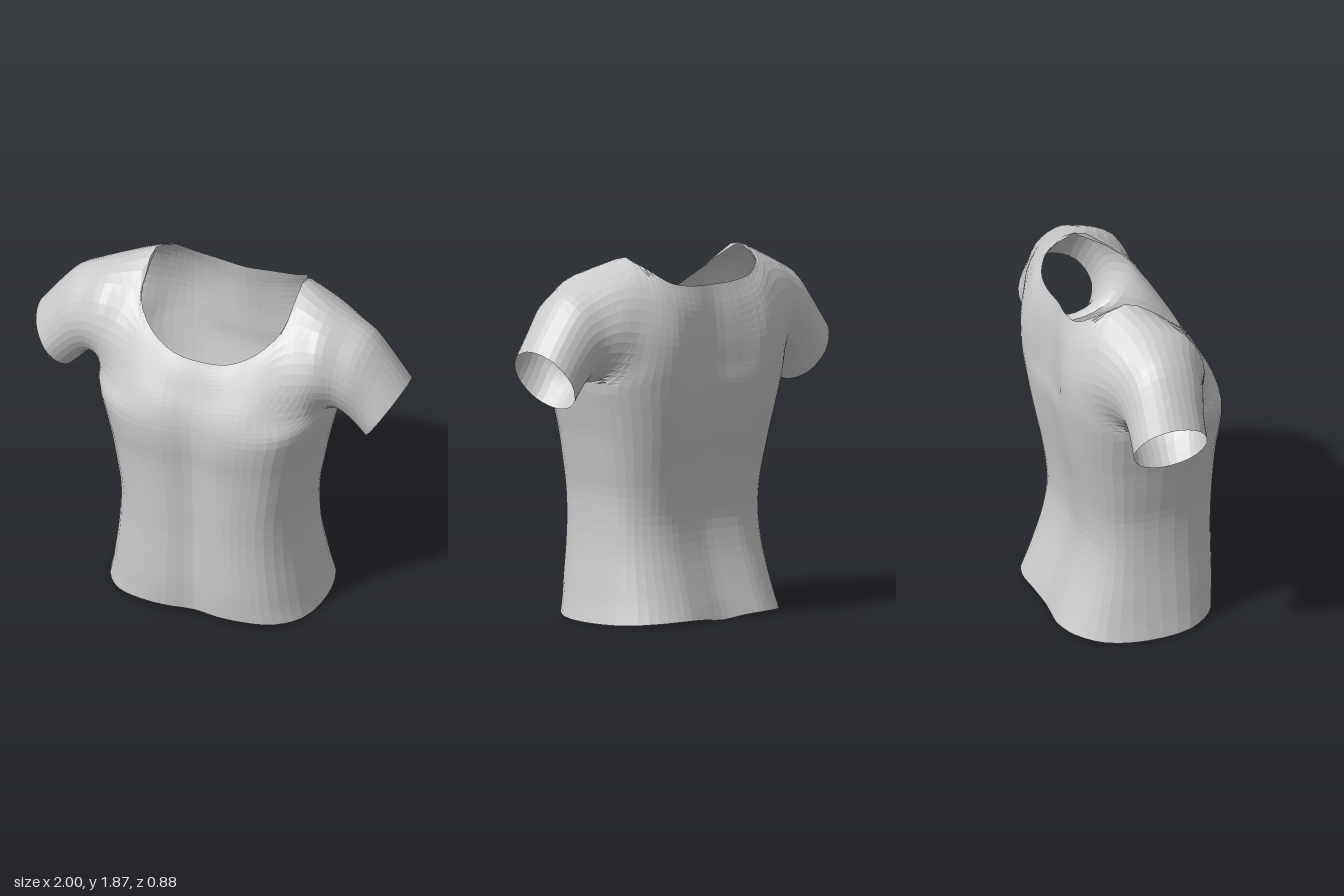
import * as THREE from 'three';
import { mergeGeometries } from 'three/addons/utils/BufferGeometryUtils.js';

const MID = -0.05; // z of the side seams
const V = (x, y, z) => new THREE.Vector3(x, y, z);
const flipX = (p) => V(-p.x, p.y, p.z);
const beyond = (end, inner) => end.clone().multiplyScalar(2).sub(inner); // continues an edge
const spline = (pts) => new THREE.CatmullRomCurve3(pts, false, 'centripetal');

// Smooth surface through a net of points. The outer rows and columns of the net
// only steer the tangents, so neighbouring panels meet without a crease.
function patch(net, stepsU, stepsV, facing) {
  const nu = (net[0].length - 3) * stepsU;
  const nv = (net.length - 3) * stepsV;
  const inside = (pts, steps) =>
    spline(pts).getPoints((pts.length - 1) * steps).slice(steps, -steps);
  const rows = net.map((row) => inside(row, stepsU));
  const columns = rows[0].map((_, i) => inside(rows.map((r) => r[i]), stepsV));
  const pos = [];
  const index = [];
  for (let j = 0; j <= nv; j++) {
    for (let i = 0; i <= nu; i++) pos.push(...columns[i][j].toArray());
  }
  for (let j = 0; j < nv; j++) {
    for (let i = 0; i < nu; i++) {
      const a = j * (nu + 1) + i, b = a + 1, c = a + nu + 1, d = c + 1;
      if (facing > 0) index.push(a, b, d, a, d, c);
      else index.push(a, d, b, a, c, d);
    }
  }
  const geo = new THREE.BufferGeometry();
  geo.setAttribute('position', new THREE.Float32BufferAttribute(pos, 3));
  geo.setIndex(index);
  geo.computeVertexNormals();
  return geo;
}

// Torso rings: height, half width, front z, back z
const RINGS = [
  [0, 0.565, 0.39, -0.435], [0.1, 0.545, 0.395, -0.405], [0.2, 0.53, 0.4, -0.37],
  [0.35, 0.51, 0.4, -0.325], [0.5, 0.5, 0.4, -0.302], [0.65, 0.503, 0.405, -0.312],
  [0.8, 0.528, 0.41, -0.335], [0.95, 0.555, 0.42, -0.365], [1.08, 0.585, 0.436, -0.388],
  [1.2, 0.62, 0.436, -0.405],
];
const ACROSS = [0, 0.26, 0.5, 0.74, 0.93, 1];
const DEPTH = { 1: [0.94, 1, 0.98, 0.86, 0.55, 0], '-1': [0.94, 0.98, 1, 0.87, 0.55, 0] };

// Half rings from the centre front or back to the side seam
const torso = (side) => RINGS.map(([y, w, zf, zb], r) => ACROSS.map((f, c) => {
  const d = DEPTH[side][c];
  let h = y;
  if (r === 0) h += side > 0 ? 0.04 * d ** 3 : 0.02 * Math.sin(Math.PI * f); // wavy hem
  if (r === RINGS.length - 1) h += 0.04 * f ** 4;                            // underarm
  return V(w * f, h, MID + ((side > 0 ? zf : zb) - MID) * d);
}));

// Sleeve stations from armhole to cuff: top x, y, bottom x, y, front z, back z
const STATIONS = [
  [0.58, 1.8, 0.62, 1.24, 0.24, -0.31], [0.7, 1.745, 0.665, 1.25, 0.2, -0.265],
  [0.8, 1.69, 0.71, 1.22, 0.18, -0.245], [0.9, 1.57, 0.755, 1.17, 0.158, -0.237],
  [1, 1.43, 0.8, 1.12, 0.15, -0.24],
];

// Sleeve points at step k around: 0 underarm, 2 front, 4 top, 6 back, 8 underarm
const sleeveRow = (k) => STATIONS.map(([tx, ty, bx, by, zf, zb]) => {
  const a = (k / 4 - 0.5) * Math.PI;
  const t = (1 + Math.sin(a)) / 2;
  const z = MID + ((k < 4 ? zf : zb) - MID) * Math.abs(Math.cos(a));
  return V(bx + (tx - bx) * t, by + (ty - by) * t, z);
});

// Chest and upper back from the centre outwards; the last row is the neckline
const YOKE = {
  1: [
    [[0, 1.28, 0.39], [0.16, 1.3, 0.41], [0.3, 1.31, 0.395], [0.44, 1.31, 0.335], [0.55, 1.31, 0.245]],
    [[0, 1.37, 0.355], [0.16, 1.4, 0.36], [0.29, 1.45, 0.325], [0.4, 1.49, 0.285], [0.51, 1.51, 0.26]],
    [[0, 1.455, 0.32], [0.15, 1.48, 0.315], [0.27, 1.545, 0.27], [0.37, 1.64, 0.205], [0.46, 1.7, 0.15]],
    [[0, 1.53, 0.28], [0.15, 1.545, 0.27], [0.28, 1.61, 0.225], [0.385, 1.72, 0.12], [0.4, 1.865, -0.12]],
  ],
  '-1': [
    [[0, 1.3, -0.38], [0.16, 1.3, -0.395], [0.31, 1.31, -0.415], [0.45, 1.31, -0.38], [0.55, 1.31, -0.3]],
    [[0, 1.43, -0.375], [0.16, 1.44, -0.395], [0.31, 1.47, -0.415], [0.42, 1.49, -0.39], [0.52, 1.51, -0.345]],
    [[0, 1.58, -0.36], [0.15, 1.59, -0.38], [0.29, 1.63, -0.38], [0.37, 1.69, -0.345], [0.46, 1.735, -0.285]],
    [[0, 1.71, -0.335], [0.14, 1.715, -0.345], [0.28, 1.74, -0.33], [0.37, 1.805, -0.265], [0.4, 1.865, -0.12]],
  ],
};
const yoke = (side) => [
  torso(side).at(-1).slice(0, 5),
  ...YOKE[side].map((row) => row.map((p) => V(...p))),
];

// One half of the torso, from centre front round the side to centre back
function torsoNet() {
  const front = torso(1), back = torso(-1);
  const around = (f, b) => [flipX(f[1]), ...f, ...b.slice(0, 5).reverse(), flipX(b[1])];
  const rows = front.map((f, r) => around(f, back[r]));
  const above = (side) => [...yoke(side)[1], sleeveRow(1)[0]];
  return [rows[0].map((p, i) => beyond(p, rows[1][i])), ...rows, around(above(1), above(-1))];
}

// Half of the chest or upper back, from the centre to the shoulder
function yokeNet(side) {
  const own = yoke(side);
  const rows = own.map((row, k) => {
    let outer = sleeveRow(side > 0 ? k : 8 - k)[0];
    if (k === 4) outer = beyond(row[4], row[3]);
    return [flipX(row[1]), ...row, outer];
  });
  const under = torso(side).at(-2);
  const over = rows[4].map((p, i) => beyond(p, rows[3][i]));
  over[5] = yoke(-side)[3][4]; // shoulder runs on to the other side
  return [[flipX(under[1]), ...under], ...rows, over];
}

// Shoulder strap round the armhole, from front underarm over the top to the back
function shoulderNet() {
  const front = yoke(1), back = yoke(-1);
  const lines = [...front, ...back.slice(0, 4).reverse()];
  const rows = lines.map((line, k) => {
    const [arm, next] = sleeveRow(k);
    return [k === 4 ? beyond(line[4], arm) : line[3], line[4], arm, next];
  });
  rows[0][3] = back[0][4];
  rows[8][3] = front[0][4];
  const ghost = (side, k) => {
    const under = torso(side).at(-2);
    const [arm, next] = sleeveRow(k);
    return [under[3], under[4], arm, next];
  };
  return [ghost(1, 7), ...rows, ghost(-1, 1)];
}

// Whole sleeve as a closed tube, open at the cuff
function sleeveNet() {
  const lines = [...yoke(1), ...yoke(-1).slice(0, 4).reverse()];
  const rows = lines.map((line, k) => {
    const s = sleeveRow(k);
    return [line[4], ...s, beyond(s[4], s[3])];
  });
  return [rows[7], ...rows, rows[1]];
}

export function createModel() {
  const shirt = new THREE.Group();
  shirt.name = 'shirt';
  const cloth = new THREE.MeshStandardMaterial({
    color: 0xcccccc, flatShading: true, side: THREE.DoubleSide,
  });
  const add = (name, parts) => {
    const mesh = new THREE.Mesh(mergeGeometries(parts), cloth);
    mesh.name = name;
    shirt.add(mesh);
  };
  const mirrored = (net, m) => (m > 0 ? net : net.map((row) => row.map(flipX)));
  const both = (net, u, v, side) => [1, -1].map((m) => patch(mirrored(net, m), u, v, side * m));

  add('torso', both(torsoNet(), 3, 3, 1));
  add('chest', both(yokeNet(1), 3, 4, 1));
  add('upperBack', both(yokeNet(-1), 3, 4, -1));
  for (const m of [1, -1]) {
    const label = m > 0 ? 'left' : 'right';
    add(label + 'Shoulder', [patch(mirrored(shoulderNet(), m), 3, 4, m)]);
    add(label + 'Sleeve', [patch(mirrored(sleeveNet(), m), 3, 4, m)]);
  }
  return shirt;
}
